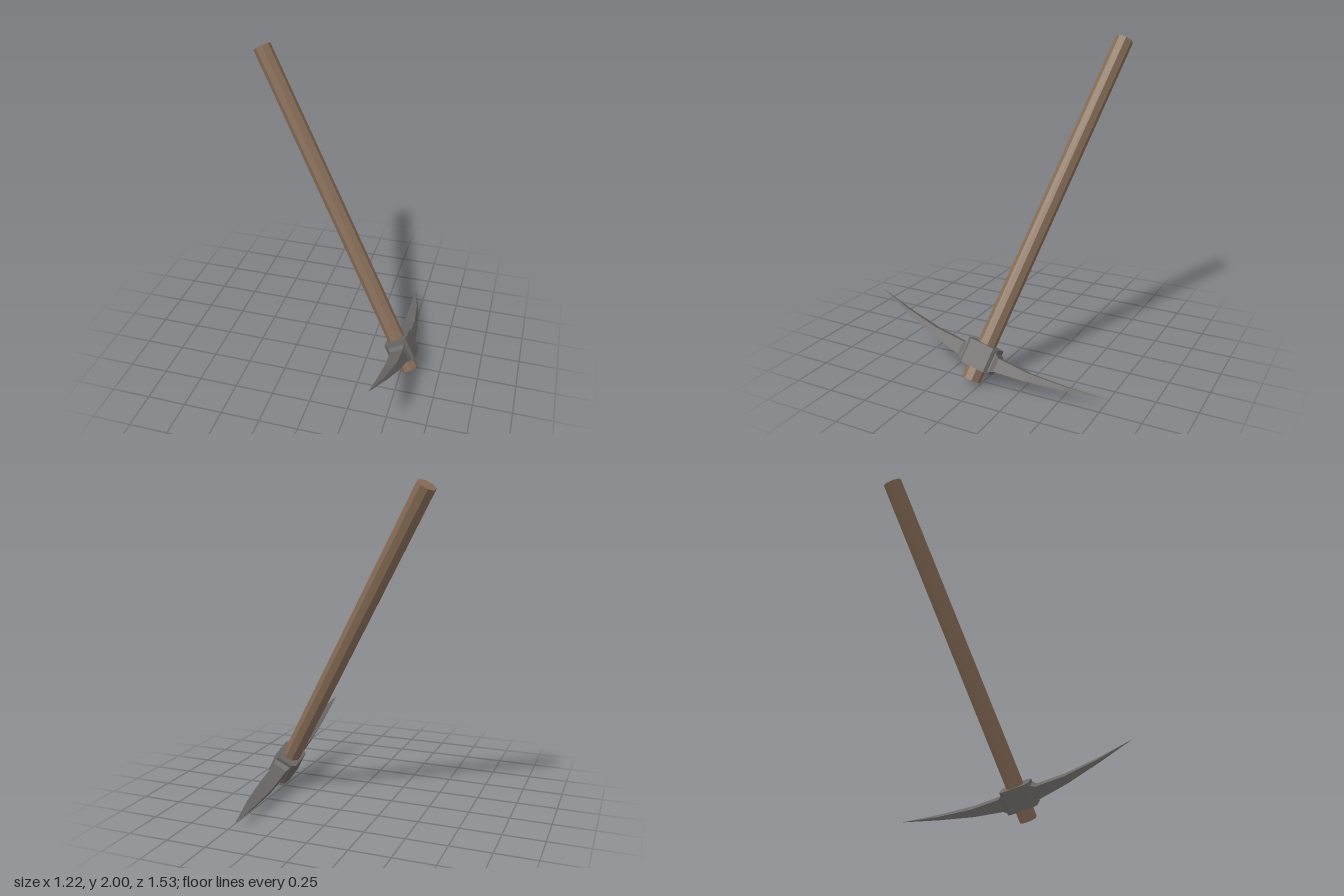
import * as THREE from 'three';

const wood = new THREE.MeshStandardMaterial({ color: 0x866c56, flatShading: true });
const metal = new THREE.MeshStandardMaterial({ color: 0x6a6866, flatShading: true });

// Blade cross-sections from socket to tip: [reach, centre x, half width, bottom, top]
const SECTIONS = [
  [0.05, 0.013, 0.054, 0.09, 0.21],
  [0.1, 0.013, 0.054, 0.09, 0.205],
  [0.125, 0.013, 0.046, 0.105, 0.187],
  [0.32, 0.013, 0.045, 0.137, 0.187],
  [0.55, 0.012, 0.03, 0.19, 0.212],
  [0.79, 0.007, 0.0005, 0.251, 0.252],
];

// Four-sided tapering blade; side is +1 or -1 along z
function bladeGeometry(side) {
  const positions = [], index = [];
  for (const [reach, cx, w, bottom, top] of SECTIONS) {
    const corners = [[cx - w, bottom], [cx + w, bottom], [cx + w, top], [cx - w, top]];
    if (side < 0) corners.reverse();
    for (const [x, y] of corners) positions.push(x, y, side * reach);
  }
  for (let k = 0; k < SECTIONS.length - 1; k++) {
    for (let i = 0; i < 4; i++) {
      const a = k * 4 + i, b = k * 4 + (i + 1) % 4;
      index.push(a, b, b + 4, a, b + 4, a + 4);
    }
  }
  const end = (SECTIONS.length - 1) * 4;
  index.push(0, 2, 1, 0, 3, 2, end, end + 1, end + 2, end, end + 2, end + 3);
  const geometry = new THREE.BufferGeometry();
  geometry.setAttribute('position', new THREE.Float32BufferAttribute(positions, 3));
  geometry.setIndex(index);
  geometry.computeVertexNormals();
  return geometry;
}

// Block with its four upright edges cut off
function collarGeometry(a, c, cut, height) {
  const shape = new THREE.Shape([
    [a, -c + cut], [a, c - cut], [a - cut, c], [-a + cut, c],
    [-a, c - cut], [-a, -c + cut], [-a + cut, -c], [a - cut, -c],
  ].map(([x, y]) => new THREE.Vector2(x, y)));
  const geometry = new THREE.ExtrudeGeometry(shape, { depth: height, bevelEnabled: false });
  return geometry.rotateX(-Math.PI / 2);
}

export function createModel() {
  const model = new THREE.Group();
  model.name = 'pickaxe';
  const tool = new THREE.Group();
  tool.name = 'leaningTool';

  const add = (name, geometry, material) => {
    const mesh = new THREE.Mesh(geometry, material);
    mesh.name = name;
    tool.add(mesh);
    return mesh;
  };

  // Eight-sided shaft, its lower end at the tool's origin
  const length = 2.29;
  add('handle', new THREE.CylinderGeometry(0.058, 0.058, length, 8, 1, false, Math.PI / 8), wood)
    .position.y = length / 2;

  // Head: collar around the shaft and two curved points
  add('collar', collarGeometry(0.077, 0.1, 0.024, 0.15), metal).position.set(0.008, 0.078, 0);
  add('frontBlade', bladeGeometry(1), metal);
  add('backBlade', bladeGeometry(-1), metal);

  // Lean the tool: y runs up the shaft, z along the blades
  const up = new THREE.Vector3(-0.493, 0.845, -0.2095).normalize();
  const along = new THREE.Vector3(0, 0.2396, 0.971);
  const across = new THREE.Vector3().crossVectors(up, along).normalize();
  along.crossVectors(across, up);
  tool.quaternion.setFromRotationMatrix(new THREE.Matrix4().makeBasis(across, up, along));
  tool.position.set(0.557, 0.032, 0.05);
  model.add(tool);
  return model;
}
